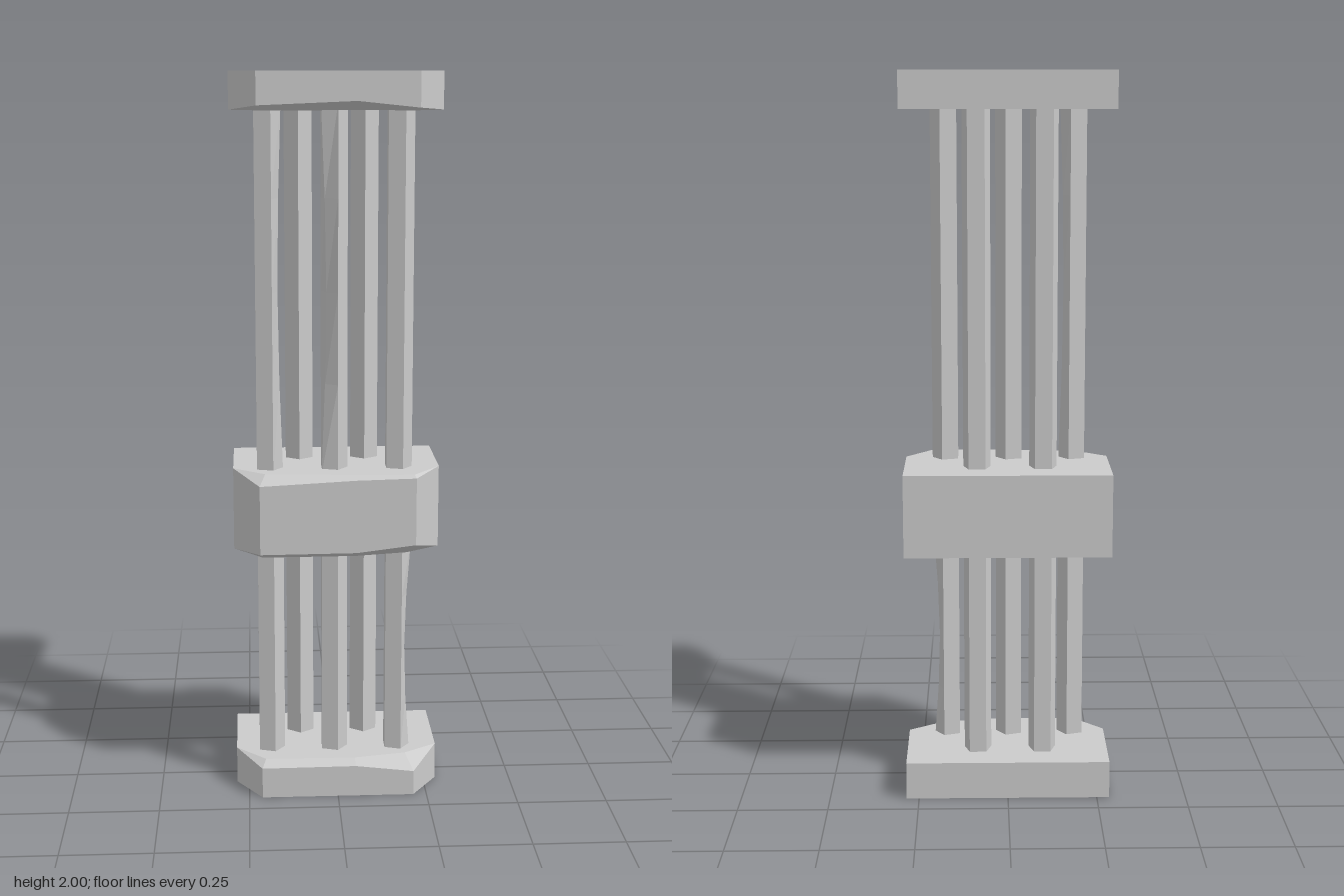
import * as THREE from 'three';

const material = new THREE.MeshStandardMaterial({ color: 0xcccccc, flatShading: true });

// Slab outline (x, z), counter-clockwise seen from above, starting at the back left
const outline = [
  [-0.285, -0.18], [-0.285, 0.07], [-0.213, 0.18], [0.05, 0.18],
  [0.213, 0.18], [0.285, 0.07], [0.285, -0.18],
];

// Slab whose top and bottom rims are chipped; wear is one height per outline point
function slab(name, y0, y1, bottomWear, topWear) {
  const ring = (y, wear, dir, inset) => outline.map(([x, z], i) => {
    const k = inset ? 1 - wear[i] * 8 : 1;
    return new THREE.Vector3(x * (1 + (k - 1) * 0.35), inset ? y : y + dir * wear[i], z * k);
  });
  const rings = [
    ring(y0, bottomWear, 1, true), ring(y0, bottomWear, 1, false),
    ring(y1, topWear, -1, false), ring(y1, topWear, -1, true),
  ];
  const pos = [];
  const tri = (a, b, c) => {
    for (const p of [a, b, c]) pos.push(p.x, p.y, p.z);
  };
  const n = outline.length;
  const low = new THREE.Vector3(0, y0, 0), high = new THREE.Vector3(0, y1, 0);
  for (let i = 0; i < n; i++) {
    const j = (i + 1) % n;
    for (let r = 0; r < 3; r++) {
      const a = rings[r][i], b = rings[r][j], c = rings[r + 1][j], d = rings[r + 1][i];
      if (!a.equals(d)) tri(a, c, d);
      if (!b.equals(c)) tri(a, b, c);
    }
    tri(low, rings[0][j], rings[0][i]);
    tri(high, rings[3][i], rings[3][j]);
  }
  const geo = new THREE.BufferGeometry();
  geo.setAttribute('position', new THREE.Float32BufferAttribute(pos, 3));
  geo.computeVertexNormals();
  const mesh = new THREE.Mesh(geo, material);
  mesh.name = name;
  return mesh;
}

// Five-sided rod; a dent pulls one corner (at an angle from +z) inward around mid height
function rod(name, x, z, turn, y0, y1, dent) {
  const h = y1 - y0;
  const geo = new THREE.CylinderGeometry(0.04, 0.04, h, 5, dent ? 4 : 1, true, turn);
  if (dent) {
    const p = geo.attributes.position;
    const dx = Math.sin(dent.angle), dz = Math.cos(dent.angle);
    for (let i = 0; i < p.count; i++) {
      const facing = (p.getX(i) * dx + p.getZ(i) * dz) / 0.04;
      if (facing < 0.9) continue;
      const pull = dent.depth * Math.cos(Math.PI * p.getY(i) / h);
      p.setX(i, p.getX(i) - dx * pull);
      p.setZ(i, p.getZ(i) - dz * pull);
    }
    geo.computeVertexNormals();
  }
  const mesh = new THREE.Mesh(geo, material);
  mesh.position.set(x, (y0 + y1) / 2, z);
  mesh.name = name;
  return mesh;
}

export function createModel() {
  const group = new THREE.Group();
  group.name = 'rodColumn';
  const none = [0, 0, 0, 0, 0, 0, 0];

  // Base, middle block and cap
  group.add(
    slab('baseSlab', 0, 0.105, none, [0, 0, 0.018, 0.016, 0.035, 0, 0]),
    slab('middleBlock', 0.70, 0.93, [0, 0, 0.012, 0.014, 0.034, 0, 0], [0, 0, 0.026, 0.012, 0.008, 0, 0]),
    slab('capSlab', 1.90, 2.0, [0, 0, 0.013, 0.024, 0.007, 0, 0], none),
  );

  // Three rods in front and two behind, on both levels
  const deg = Math.PI / 180;
  const levels = [
    { name: 'lower', y0: 0.09, y1: 0.715, dents: { 2: { angle: 90 * deg, depth: 0.016 } } },
    {
      name: 'upper', y0: 0.915, y1: 1.92,
      dents: { 0: { angle: 90 * deg, depth: 0.012 }, 1: { angle: -54 * deg, depth: 0.017 } },
    },
  ];
  for (const { name, y0, y1, dents } of levels) {
    [-0.187, -0.009, 0.17].forEach((x, i) =>
      group.add(rod(`${name}FrontRod${i + 1}`, x, 0.065, 90 * deg, y0, y1, dents[i])));
    [-0.099, 0.084].forEach((x, i) =>
      group.add(rod(`${name}BackRod${i + 1}`, x, -0.067, 0, y0, y1)));
  }
  return group;
}
